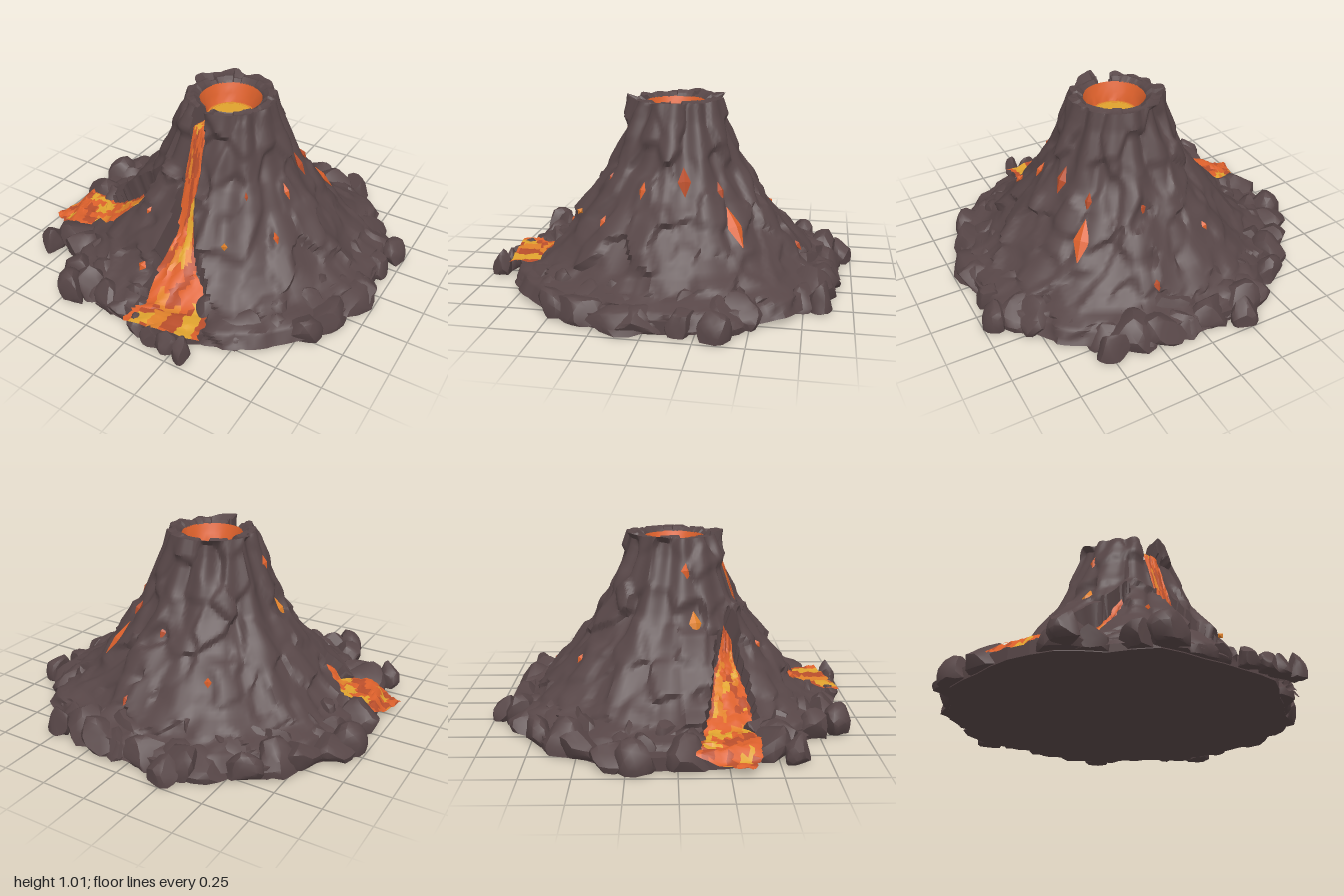
import * as THREE from 'three';
import { mergeGeometries, toCreasedNormals } from 'three/addons/utils/BufferGeometryUtils.js';

const CX = 0.04, CZ = -0.01;          // cone axis
const TAU = Math.PI * 2;
// slope profile, outside to crater lip: radius, height
const PROFILE = [[0.9, 0.02], [0.86, 0.09], [0.75, 0.13], [0.67, 0.2], [0.585, 0.3], [0.505, 0.4], [0.425, 0.5],
  [0.365, 0.6], [0.32, 0.7], [0.285, 0.8], [0.25, 0.9], [0.228, 0.99], [0.2, 1.0], [0.168, 0.975]];
// base outline radius every 15 degrees, from +x towards +z
const OUTLINE = [0.98, 0.99, 0.98, 0.92, 0.9, 0.95, 0.91, 0.91, 0.97, 0.9, 0.97, 0.98,
  0.96, 1.0, 0.96, 1.0, 0.92, 0.99, 0.92, 0.95, 0.97, 0.92, 0.96, 0.98];
// lava paths: x, half width, z
const STREAMS = [
  [[0.02, 0.035, 0.13], [0, 0.04, 0.2], [0, 0.042, 0.28], [0, 0.045, 0.36], [0.02, 0.058, 0.45], [0.06, 0.11, 0.6],
    [0.14, 0.18, 0.76], [0.165, 0.2, 0.91]],
  [[-0.22, 0.025, 0.28], [-0.32, 0.05, 0.28], [-0.42, 0.09, 0.28], [-0.6, 0.115, 0.28], [-0.8, 0.15, 0.26], [-0.96, 0.13, 0.22]],
].map(p => new THREE.CatmullRomCurve3(p.map(q => new THREE.Vector3(...q))));
const STREAM_POINTS = STREAMS.flatMap(c => c.getPoints(70));

const hash = (a, b = 0, c = 0) => {
  const s = Math.sin(a * 127.1 + b * 311.7 + c * 74.7) * 43758.5453;
  return s - Math.floor(s);
};

// height of the smooth slope at a radius
function slopeHeight(r) {
  for (let i = 0; i < 11; i++) {
    const [r0, y0] = PROFILE[i], [r1, y1] = PROFILE[i + 1];
    if (r >= r1) return y0 + (y1 - y0) * (r0 - r) / (r0 - r1);
  }
  return 1;
}

// lava lies sunk into the lower slope, then spills over the base edge
function lavaHeight(r) {
  const sink = 1 - 0.3 * THREE.MathUtils.smoothstep(r, 0.3, 0.48);
  const floor = 0.088 - 0.055 * THREE.MathUtils.smoothstep(r, 0.95, 1.01);
  return Math.min(0.89, Math.max(floor, slopeHeight(r) * sink));
}

// distance to the nearest lava path, in half widths
const streamDistance = (x, z) =>
  Math.min(...STREAM_POINTS.map(p => Math.hypot(p.x - x, p.z - z) / p.y));

// tilted rock plates: irregular cells with their own offset and slant, blended at the seams
function plates(x, y, z) {
  const S = 8.5, px = x * S, py = y * S * 0.6, pz = z * S;
  let total = 0, value = 0;
  for (let i = -1; i < 2; i++) for (let j = -1; j < 2; j++) for (let k = -1; k < 2; k++) {
    const a = Math.floor(px) + i, b = Math.floor(py) + j, c = Math.floor(pz) + k;
    const dx = px - a - hash(a, b, c), dy = py - b - hash(b, c, a + 9), dz = pz - c - hash(c, a, b + 5);
    const weight = Math.exp(-18 * (dx * dx + dy * dy + dz * dz));
    total += weight;
    value += weight * (hash(a + 3, b, c) * 0.045 + (hash(a, b + 7, c) - 0.5) * 0.04 * dx
      + (hash(a, b, c + 2) - 0.5) * 0.04 * dz - 0.012 * dy);
  }
  return value / (total + 1e-9);
}

// rocky slope point; v runs along the profile from base to lip
function slopePoint(th, v) {
  const f = v * (PROFILE.length - 1), i = Math.min(Math.floor(f), PROFILE.length - 2), t = f - i;
  const r = PROFILE[i][0] + (PROFILE[i + 1][0] - PROFILE[i][0]) * t;
  let y = PROFILE[i][1] + (PROFILE[i + 1][1] - PROFILE[i][1]) * t;
  const c = Math.cos(th), s = Math.sin(th), x = CX + r * c, z = CZ + r * s;
  if (streamDistance(x, z) < 1) {
    return [x - c * 0.02, Math.max(0.01, Math.min(y, lavaHeight(r)) - 0.025), z - s * 0.02];
  }
  let d = plates(x, y, z) + (Math.sin(th * 9 + 1) + Math.sin(th * 14 + 4 * y)) * 0.008;
  if (r < 0.225) {
    if (r > 0.172) y += (hash(Math.floor(th * 4), 3) - 0.6) * 0.025;
    d = 0;
  }
  return [x + c * d * 0.9, Math.min(1.01, Math.max(0, y + d * 0.4)), z + s * d * 0.9];
}

// grid of points with a material index chosen per cell
function grid(nu, nv, point, pick = () => 0) {
  const pos = [], faces = [];
  for (let j = 0; j <= nv; j++) for (let i = 0; i <= nu; i++) pos.push(...point(i / nu, j / nv));
  for (let j = 0; j < nv; j++) for (let i = 0; i < nu; i++) {
    const a = j * (nu + 1) + i, c = a + nu + 1, m = pick(i, j);
    (faces[m] ??= []).push(a, c, a + 1, a + 1, c, c + 1);
  }
  const g = new THREE.BufferGeometry(), index = [];
  faces.forEach((f, m) => {
    g.addGroup(index.length, f.length, m);
    for (const n of f) index.push(n);
  });
  g.setAttribute('position', new THREE.Float32BufferAttribute(pos, 3));
  g.setIndex(index);
  return toCreasedNormals(g, 0.75);
}

function outline(th) {
  const f = (th / TAU * 24 + 24) % 24, i = Math.floor(f);
  return OUTLINE[i] + (OUTLINE[(i + 1) % 24] - OUTLINE[i]) * (f - i);
}

// blocky boulder: a ball trimmed by random planes, cut flat at the ground
function boulder(seed, th, radius, size, height) {
  const g = new THREE.IcosahedronGeometry(1, 2).deleteAttribute('uv'), p = g.attributes.position;
  const v = new THREE.Vector3(), cuts = [];
  for (let k = 0; k < 12; k++) {
    cuts.push(new THREE.Vector3(hash(seed, k) - 0.5, hash(seed, k, 1) - 0.4, hash(seed, k, 2) - 0.5).normalize());
  }
  for (let i = 0; i < p.count; i++) {
    v.fromBufferAttribute(p, i);
    cuts.forEach((n, k) => {
      const over = v.dot(n) - 0.55 - 0.25 * hash(seed, k, 3);
      if (over > 0) v.addScaledVector(n, -over);
    });
    p.setXYZ(i, v.x * size * 1.2, v.y, v.z * size * (1.2 + 0.5 * hash(seed, 8)));
  }
  g.rotateY(-th + (hash(seed, 6) - 0.5) * 0.7);
  for (let i = 0; i < p.count; i++) {
    p.setXYZ(i, p.getX(i) + Math.cos(th) * radius, Math.max(0.005, 0.04 + p.getY(i) * height), p.getZ(i) + Math.sin(th) * radius);
  }
  return toCreasedNormals(g, 0.6);
}

export function createModel() {
  const group = new THREE.Group();
  const material = (name, color) => Object.assign(new THREE.MeshStandardMaterial({ color }), { name });
  const rock = material('rock', 0x574647);
  const orange = material('orange lava', 0xdc602b);
  const deep = material('cooling lava', 0xb94e2b);
  const amber = material('amber lava', 0xe0812a);
  const yellow = material('yellow lava', 0xe0a32e);
  const add = (name, geometry, mat) => {
    const mesh = new THREE.Mesh(geometry, mat);
    mesh.name = name;
    group.add(mesh);
    return mesh;
  };

  // cone and crater
  add('coneSlope', grid(180, 65, (u, v) => slopePoint(u * TAU, v)), rock);
  const ring = (r0, y0, r1, y1, rough) => grid(40, 4, (u, v) => {
    const th = u * TAU, r = r0 + (r1 - r0) * v + (hash(Math.round(u * 40) % 40, v * 4) - 0.5) * rough * v;
    return [CX + r * Math.cos(th), y0 + (y1 - y0) * v, CZ + r * Math.sin(th)];
  });
  add('craterWall', ring(0.17, 0.977, 0.124, 0.868, 0.012), orange);
  add('lavaPoolEdge', ring(0.134, 0.876, 0.1, 0.882, 0), amber);
  add('lavaPool', ring(0.112, 0.881, 0, 0.887, 0), yellow);

  // flat base following the ragged outline
  const base = new THREE.Shape();
  for (let i = 0; i < 48; i++) {
    const th = i / 48 * TAU, r = outline(th) * 0.95;
    base[i ? 'lineTo' : 'moveTo'](r * Math.cos(th), -r * Math.sin(th));
  }
  add('baseSlab', new THREE.ExtrudeGeometry(base, { depth: 0.07, bevelEnabled: false }).rotateX(-Math.PI / 2), rock);

  // boulders around the foot, leaving the lava clear
  const boulders = [];
  const ringOf = (count, seed, inset, size, height) => {
    for (let i = 0; i < count; i++) {
      const th = (i + (hash(i, seed) - 0.5) * 0.6) / count * TAU, s = size * (0.8 + 0.5 * hash(i, seed, 2));
      const r = outline(th) - s * 0.9 - inset;
      if (streamDistance(r * Math.cos(th), r * Math.sin(th)) < 1.15) continue;
      boulders.push(boulder(i + seed * 50, th, r, s, height * (0.85 + 0.4 * hash(i, seed, 3))));
    }
  };
  ringOf(34, 1, 0, 0.09, 0.125);
  ringOf(30, 2, 0.12, 0.08, 0.14);
  ringOf(24, 3, 0.21, 0.07, 0.15);
  // outlying rocks, and a low row in front of the front stream: x, z, size, height
  [[0.31, 0.945, 0.05, 0.12], [-0.24, -0.945, 0.06, 0.12], [0.49, -0.84, 0.06, 0.13], [-0.46, 0.85, 0.07, 0.13],
    [0.01, 0.9, 0.05, 0.08], [0.11, 0.925, 0.05, 0.08], [0.21, 0.925, 0.05, 0.09], [0.94, -0.34, 0.06, 0.13],
    [-0.83, 0.58, 0.06, 0.13]].forEach(([x, z, s, h], i) =>
    boulders.push(boulder(i + 300, Math.atan2(z, x), Math.hypot(x, z), s, h)));
  add('footBoulders', mergeGeometries(boulders), rock);

  // lava streams lying in their grooves
  STREAMS.forEach((curve, n) => {
    const geometry = grid(10, 64, (u, v) => {
      const p = curve.getPoint(v), d = curve.getTangent(v).setY(0).normalize();
      const jitter = (hash(Math.round(u * 10), Math.round(v * 64), n) - 0.5) * 0.12;
      const w = p.y * (u * 2 - 1 + jitter) * 1.05, x = p.x + d.z * w, z = p.z - d.x * w;
      const lump = hash(Math.round(u * 10), Math.round(v * 20), n + 4) * 0.018;
      return [x, Math.min(0.895, lavaHeight(Math.hypot(x - CX, z - CZ)) + lump), z];
    }, (i, j) => {
      const h = hash(Math.floor((i + j / 8) / 2), Math.floor((j + i % 3) / 5), n + 2);
      if (i === 0 || i === 9) return h > 0.65 ? 1 : 0;
      return h > 0.87 ? 3 : h > 0.68 ? 2 : h < 0.15 ? 1 : 0;
    });
    add(n ? 'sideLavaStream' : 'frontLavaStream', geometry, [orange, deep, amber, yellow]);
  });

  // glowing cracks: x, z, width, length
  [[0.15, -0.67, 0.025, 0.04], [-0.23, -0.5, 0.02, 0.03], [0.1, -0.42, 0.025, 0.05], [0.42, -0.37, 0.045, 0.12],
    [0.39, -0.11, 0.035, 0.08], [0.42, 0.09, 0.018, 0.05], [0.28, 0.46, 0.018, 0.02], [-0.12, 0.64, 0.03, 0.03],
    [-0.33, 0.1, 0.035, 0.07], [-0.23, 0.05, 0.03, 0.06], [0.29, 0.27, 0.02, 0.045], [-0.2, 0.43, 0.015, 0.025],
    [0.33, -0.28, 0.02, 0.05], [0.47, 0.28, 0.016, 0.035]].forEach(([x, z, w, l], i) => {
    const th = Math.atan2(z - CZ, x - CX), r = Math.hypot(x - CX, z - CZ), y = slopeHeight(r);
    const d = plates(x, y, z) + 0.004;
    const steep = (slopeHeight(r - 0.03) - slopeHeight(r + 0.03)) / 0.06;
    const normal = new THREE.Vector3(Math.cos(th) * steep, 1, Math.sin(th) * steep).normalize();
    const mesh = add('glowingCrack', new THREE.OctahedronGeometry(1).scale(w, l, 0.018), i === 6 || i === 8 ? amber : i % 2 ? orange : deep);
    mesh.position.set(x, y, z).addScaledVector(normal, d);
    mesh.lookAt(mesh.position.clone().add(normal));
  });
  return group;
}
